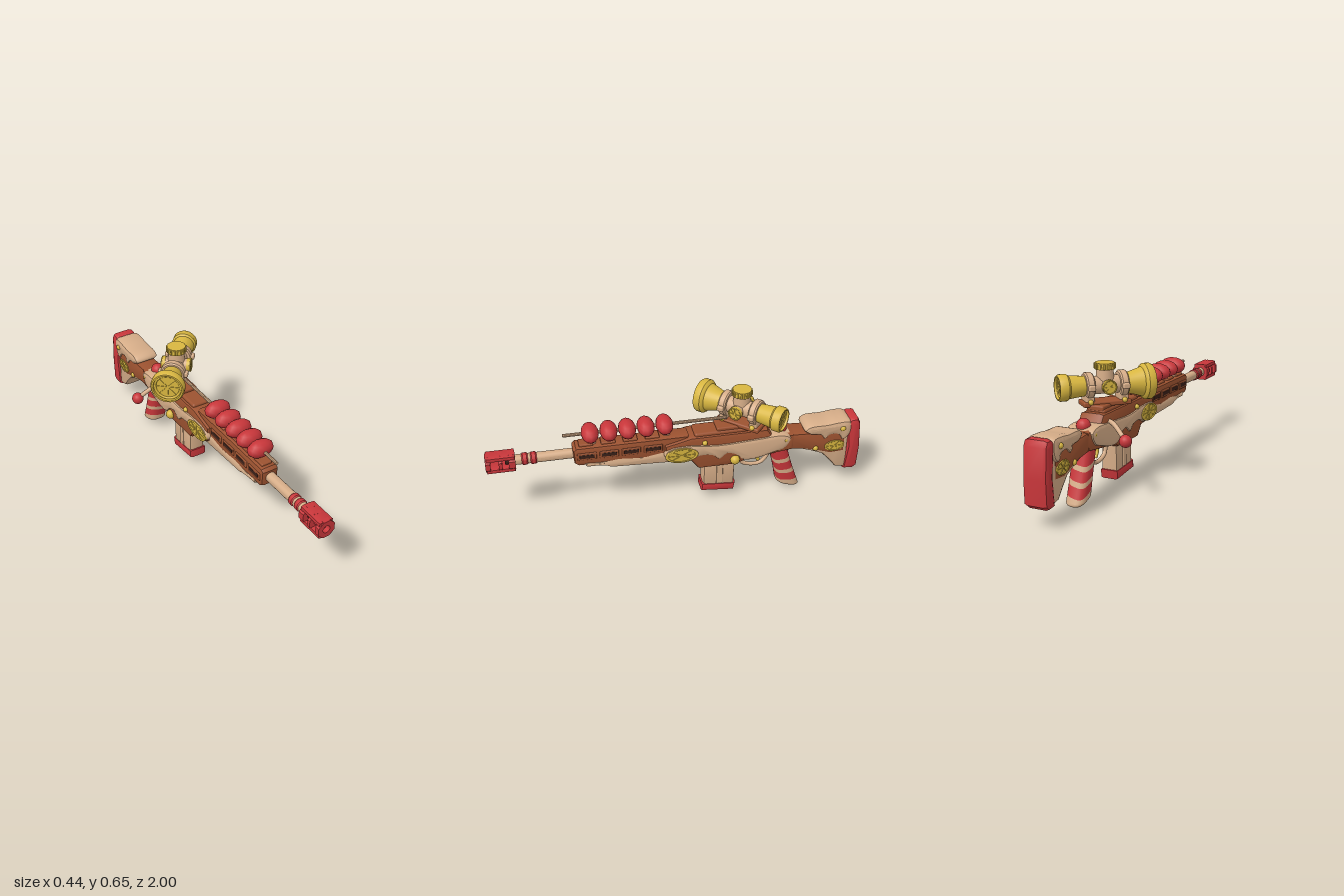
import * as THREE from 'three';
import { toCreasedNormals } from 'three/addons/utils/BufferGeometryUtils.js';
import { RoundedBoxGeometry } from 'three/addons/geometries/RoundedBoxGeometry.js';
import { ParametricGeometry } from 'three/addons/geometries/ParametricGeometry.js';

const paint = (name, color) => Object.assign(new THREE.MeshStandardMaterial({ color }), { name });
const red = paint('berry red', 0xc8363a), yellow = paint('lemon yellow', 0xd8b640);
const cream = paint('biscuit cream', 0xd6ad88), brown = paint('caramel brown', 0x9c5230);
const dark = paint('dark cocoa', 0x3a2018);

function add(parent, name, geo, mat, x = 0, y = 0, z = 0) {
  const m = new THREE.Mesh(geo, mat);
  m.name = name;
  m.position.set(x, y, z);
  parent.add(m);
  return m;
}
const box = (w, h, d, r = 0.008) => new RoundedBoxGeometry(w, h, d, 2, r);

// Side profile given as [z, y] points, extruded across x with soft edges
function slab(points, width, bevel = 0.012, smooth = false) {
  const v = points.map(p => new THREE.Vector2(p[0], p[1]));
  const shape = new THREE.Shape();
  if (smooth) shape.setFromPoints(new THREE.CatmullRomCurve3(v.map(p => new THREE.Vector3(p.x, p.y, 0)), true, 'centripetal').getPoints(60).slice(0, -1));
  else shape.setFromPoints(v);
  const g = new THREE.ExtrudeGeometry(shape, { depth: width - 2 * bevel, bevelSize: bevel, bevelOffset: -bevel, bevelThickness: bevel, bevelSegments: 2 });
  g.translate(0, 0, -(width / 2 - bevel)).rotateY(-Math.PI / 2);
  return toCreasedNormals(g, 0.7);
}

// Turned profile of [radius, z] points, running along +z
function turned(points, sides = 28) {
  const g = new THREE.LatheGeometry(points.map(p => new THREE.Vector2(p[0], p[1])), sides);
  return toCreasedNormals(g.rotateX(Math.PI / 2), 0.6);
}
const rod = (r, z0, z1, sides = 20) => turned([[0, z0], [r, z0], [r, z1], [0, z1]], sides);

function tube(parent, name, pts, r, mat) {
  const c = new THREE.CatmullRomCurve3(pts.map(p => new THREE.Vector3(...p)));
  return add(parent, name, new THREE.TubeGeometry(c, 24, r, 10), mat);
}

// Lemon slice facing +z: disc, raised rim and spokes
function lemonSlice(name, r, spokes = 8) {
  const g = new THREE.Group();
  g.name = name;
  add(g, 'pulp', rod(r, -0.02, 0), yellow);
  add(g, 'rind', new THREE.TorusGeometry(r * 0.93, r * 0.1, 8, 32), yellow);
  for (let i = 0; i < spokes / 2; i++) {
    add(g, 'spoke', new THREE.BoxGeometry(r * 1.8, r * 0.07, 0.006), yellow).rotation.z = i * Math.PI * 2 / spokes;
  }
  return g;
}

function buildBarrel(g) {
  const b = new THREE.Group();
  b.name = 'barrel';
  b.position.y = 0.387;
  g.add(b);
  add(b, 'barrelTube', rod(0.027, 0.5, 0.86), cream);
  for (const z of [0.755, 0.8]) add(b, 'barrelBand', turned([[0, z - 0.017], [0.026, z - 0.017], [0.032, z - 0.01], [0.032, z + 0.01], [0.026, z + 0.017], [0, z + 0.017]]), red);
  // Ported muzzle: octagonal rings joined by top and bottom plates
  const oct = new THREE.Shape(), hole = new THREE.Path();
  for (let i = 0; i < 8; i++) {
    const a = (i + 0.5) * Math.PI / 4;
    oct[i ? 'lineTo' : 'moveTo'](Math.cos(a) * 0.05, Math.sin(a) * 0.05);
  }
  hole.absarc(0, 0, 0.02, 0, Math.PI * 2, true);
  oct.holes.push(hole);
  for (const [z, d] of [[0.848, 0.035], [0.915, 0.018], [0.975, 0.025]]) {
    add(b, 'muzzleRing', new THREE.ExtrudeGeometry(oct, { depth: d, bevelEnabled: false }), red, 0, 0, z);
  }
  for (const s of [-1, 1]) add(b, 'muzzlePlate', slab([[0.85, s * 0.024], [0.995, s * 0.024], [0.995, s * 0.046], [0.85, s * 0.046]], 0.078, 0.006), red);
  add(b, 'muzzleBore', rod(0.019, 0.84, 0.9), dark);
}

function buildHandguard(g) {
  add(g, 'handguard', slab([[0.55, 0.345], [0.555, 0.425], [0.54, 0.44], [-0.05, 0.44], [-0.05, 0.32], [0.53, 0.33]], 0.098, 0.018), brown);
  add(g, 'forend', slab([[0.5, 0.35], [0.49, 0.32], [0.4, 0.318], [0.36, 0.3], [0.02, 0.285], [0.02, 0.35], [0.1, 0.36], [0.2, 0.343], [0.32, 0.355], [0.42, 0.343]], 0.106, 0.015), cream);
  for (let i = 0; i < 4; i++) {
    const z = 0.485 - i * 0.115;
    for (const s of [-1, 1]) {
      add(g, 'ventFrame', box(0.012, 0.042, 0.1, 0.005), brown, s * 0.048, 0.39, z);
      add(g, 'vent', box(0.008, 0.022, 0.078, 0.003), dark, s * 0.0515, 0.39, z);
    }
    add(g, 'topRailTooth', box(0.06, 0.018, 0.075, 0.006), brown, 0, 0.442, z);
  }
  // Berries on a skewer
  add(g, 'skewer', rod(0.009, -0.26, 0.6, 10), cream, 0, 0.5, 0);
  for (const z of [0.46, 0.363, 0.267, 0.17, 0.072]) {
    const berry = add(g, 'berry', new THREE.SphereGeometry(1, 12, 8), red, 0, 0.5, z);
    berry.scale.set(0.074, 0.046, 0.046);
    add(g, 'berryPeg', new THREE.CylinderGeometry(0.016, 0.022, 0.05, 10), cream, 0, 0.45, z - 0.01);
  }
}

function buildReceiver(g) {
  add(g, 'receiverCore', slab([[0.08, 0.32], [0.08, 0.4], [-0.06, 0.435], [-0.47, 0.435], [-0.5, 0.39], [-0.62, 0.38], [-0.62, 0.285], [-0.35, 0.25], [-0.31, 0.232], [-0.1, 0.232], [-0.06, 0.285], [0.05, 0.295]], 0.135, 0.02), brown);
  // Icing shell with a dripping lower edge
  add(g, 'icingShell', slab([[0.085, 0.345], [0.06, 0.385], [-0.06, 0.395], [-0.2, 0.38], [-0.42, 0.39], [-0.55, 0.395], [-0.6, 0.37], [-0.57, 0.31], [-0.5, 0.285], [-0.42, 0.262], [-0.34, 0.262], [-0.3, 0.3], [-0.25, 0.315], [-0.21, 0.285], [-0.17, 0.315], [-0.1, 0.32], [-0.06, 0.3], [0.04, 0.305]], 0.158, 0.018, true), cream);
  add(g, 'receiverTop', box(0.105, 0.04, 0.36, 0.012), brown, 0, 0.43, -0.26);
  add(g, 'ejectionPort', box(0.008, 0.022, 0.23, 0.003), dark, 0.05, 0.415, -0.31);
  add(g, 'boltCarrier', rod(0.011, -0.42, -0.2, 10), cream, 0.05, 0.412, 0);
  add(g, 'redButton', new THREE.SphereGeometry(0.036, 16, 10), red, 0, 0.395, -0.555);
  for (const s of [-1, 1]) {
    const slice = lemonSlice('sideLemon', 0.043);
    slice.position.set(s * 0.081, 0.345, -0.005);
    slice.rotation.y = s * Math.PI / 2;
    slice.scale.x = 2;
    g.add(slice);
    for (const [z, y, r] of [[-0.295, 0.27, 0.026], [-0.13, 0.4, 0.014], [-0.57, 0.36, 0.012]]) {
      add(g, 'lemonDrop', new THREE.SphereGeometry(r, 14, 10), yellow, s * 0.07, y, z);
    }
  }
  // Bolt handle on the right
  tube(g, 'boltHandle', [[-0.03, 0.39, -0.41], [-0.085, 0.388, -0.425], [-0.18, 0.318, -0.465]], 0.012, cream);
  add(g, 'boltKnob', new THREE.SphereGeometry(0.032, 18, 12), red, -0.18, 0.316, -0.465);
}

function buildMagazineAndGrip(g) {
  add(g, 'magazine', slab([[-0.135, 0.26], [-0.13, 0.09], [-0.3, 0.075], [-0.305, 0.26]], 0.088, 0.014), cream);
  for (const s of [-1, 1]) add(g, 'magazineRib', box(0.012, 0.12, 0.035, 0.005), cream, s * 0.043, 0.165, -0.22);
  add(g, 'magazineBase', slab([[-0.122, 0.115], [-0.12, 0.07], [-0.3, 0.052], [-0.308, 0.1]], 0.102, 0.014), red);
  tube(g, 'triggerGuard', [[0, 0.265, -0.335], [0, 0.2, -0.35], [0, 0.178, -0.4], [0, 0.182, -0.455], [0, 0.22, -0.49], [0, 0.26, -0.5]], 0.011, cream);
  tube(g, 'trigger', [[0, 0.275, -0.43], [0, 0.235, -0.425], [0, 0.2, -0.445]], 0.01, yellow);
  // Grip: a tilted oval loft cut into wavy stripes
  const L = THREE.MathUtils.lerp;
  const bands = [[0, 0.34, red], [0.34, 0.42, cream], [0.42, 0.58, red], [0.58, 0.66, cream], [0.66, 0.82, red], [0.82, 1, cream]];
  for (const [t0, t1, mat] of bands) {
    add(g, 'gripBand', new ParametricGeometry((u, v, p) => {
      const a = u * Math.PI * 2;
      const wave = t => (t === 0 || t === 1 ? t : t + 0.025 * Math.sin(2 * a));
      const t = L(wave(t0), wave(t1), v);
      const end = Math.sqrt(Math.max(0, 1 - Math.max(0, (t - 0.9) / 0.1) ** 2));
      const flare = 0.053 - 0.025 * Math.sin(t * Math.PI) * 0.3 + 0.016 * t;
      const c = Math.cos(a), s = Math.sin(a);
      const dz = Math.sign(s) * Math.abs(s) ** 0.75 * flare * end;
      p.set(Math.sign(c) * Math.abs(c) ** 0.75 * 0.052 * end, L(0.32, 0.02, t) + dz * 0.3 * t, L(-0.535, -0.618, t) + dz);
    }, 28, 10), mat);
  }
}

function buildStock(g) {
  const back = new THREE.Group();
  back.name = 'stock';
  g.add(back);
  add(back, 'stockBody', slab([[-0.58, 0.385], [-0.67, 0.37], [-0.93, 0.4], [-0.93, 0.115], [-0.87, 0.125], [-0.84, 0.165], [-0.79, 0.22], [-0.72, 0.25], [-0.65, 0.275], [-0.57, 0.285]], 0.11, 0.018), cream);
  add(back, 'stockPanel', slab([[-0.56, 0.383], [-0.67, 0.375], [-0.91, 0.37], [-0.91, 0.23], [-0.83, 0.225], [-0.76, 0.25], [-0.69, 0.27], [-0.57, 0.285]], 0.122, 0.018), brown);
  add(back, 'cheekRest', slab([[-0.675, 0.395], [-0.7, 0.42], [-0.8, 0.425], [-0.86, 0.432], [-0.93, 0.425], [-0.93, 0.34], [-0.89, 0.31], [-0.865, 0.345], [-0.82, 0.35], [-0.79, 0.325], [-0.765, 0.355], [-0.71, 0.365]], 0.148, 0.025, true), cream);
  add(back, 'buttPad', slab([[-0.915, 0.415], [-0.94, 0.432], [-0.975, 0.43], [-0.99, 0.4], [-1, 0.25], [-0.995, 0.125], [-0.97, 0.105], [-0.915, 0.11], [-0.93, 0.25]], 0.13, 0.022), red);
  for (const s of [-1, 1]) {
    const slice = lemonSlice('stockLemon', 0.034, 6);
    slice.position.set(s * 0.063, 0.278, -0.85);
    slice.rotation.set(0, s * Math.PI / 2, 0);
    slice.scale.x = 1.6;
    back.add(slice);
    for (const [z, y] of [[-0.745, 0.272], [-0.885, 0.39]]) add(back, 'lemonDrop', new THREE.SphereGeometry(0.016, 12, 8), yellow, s * (y > 0.3 ? 0.07 : 0.056), y, z);
  }
}

function buildScope(g) {
  add(g, 'scopeRail', box(0.09, 0.028, 0.24, 0.008), brown, 0, 0.452, -0.32);
  // Sight turned askew on its mount
  const s = new THREE.Group();
  s.name = 'scope';
  s.position.set(0, 0.552, -0.338);
  s.rotation.y = -0.74;
  g.add(s);
  add(s, 'mountPlate', box(0.1, 0.026, 0.25, 0.008), brown, 0, -0.087, 0);
  add(s, 'scopeTube', rod(0.045, -0.12, 0.12), cream);
  add(s, 'objective', turned([[0, 0.095], [0.05, 0.095], [0.056, 0.13], [0.074, 0.19], [0.084, 0.195], [0.091, 0.205], [0.091, 0.235], [0.085, 0.245], [0.076, 0.245], [0.072, 0.225], [0, 0.225]]), yellow);
  add(s, 'eyepiece', turned([[0, -0.225], [0.052, -0.225], [0.055, -0.245], [0.061, -0.245], [0.067, -0.235], [0.067, -0.2], [0.058, -0.19], [0.05, -0.11], [0, -0.11]]), yellow);
  for (const [z, r, back] of [[0.228, 0.074, 0], [-0.228, 0.054, Math.PI]]) {
    const lens = lemonSlice('lensSlice', r);
    lens.position.z = z;
    lens.rotation.y = back;
    s.add(lens);
  }
  for (const z of [-0.088, 0.088]) {
    add(s, 'clampRing', turned([[0, z - 0.021], [0.06, z - 0.021], [0.067, z - 0.014], [0.067, z + 0.014], [0.06, z + 0.021], [0, z + 0.021]]), cream);
    add(s, 'clampFoot', box(0.085, 0.045, 0.045), cream, 0, -0.065, z);
    for (const x of [-1, 1]) {
      add(s, 'clampLug', box(0.03, 0.03, 0.036), cream, x * 0.066, 0, z);
      add(s, 'clampScrew', new THREE.SphereGeometry(0.014, 12, 8), yellow, x * 0.045, -0.075, z);
    }
  }
  // Turrets: ribbed top cap and two lemon side caps
  add(s, 'turretPost', new THREE.CylinderGeometry(0.042, 0.048, 0.11, 24), cream, 0, 0.035, 0);
  add(s, 'turretCap', new THREE.CylinderGeometry(0.049, 0.052, 0.032, 28), yellow, 0, 0.096, 0);
  for (let i = 0; i < 16; i++) {
    const a = i * Math.PI / 8;
    add(s, 'capRib', box(0.011, 0.028, 0.011, 0.004), yellow, Math.cos(a) * 0.05, 0.095, Math.sin(a) * 0.05).rotation.y = -a;
  }
  for (const x of [-1, 1]) {
    const post = add(s, 'sidePost', rod(0.032, 0, 0.065), cream);
    post.rotation.y = x * Math.PI / 2;
    const cap = lemonSlice('sideCap', 0.036);
    cap.position.x = x * 0.078;
    cap.rotation.y = x * Math.PI / 2;
    s.add(cap);
  }
}

export function createModel() {
  const g = new THREE.Group();
  g.name = 'candyToyBlaster';
  for (const build of [buildBarrel, buildHandguard, buildReceiver, buildMagazineAndGrip, buildStock, buildScope]) build(g);
  return g;
}
